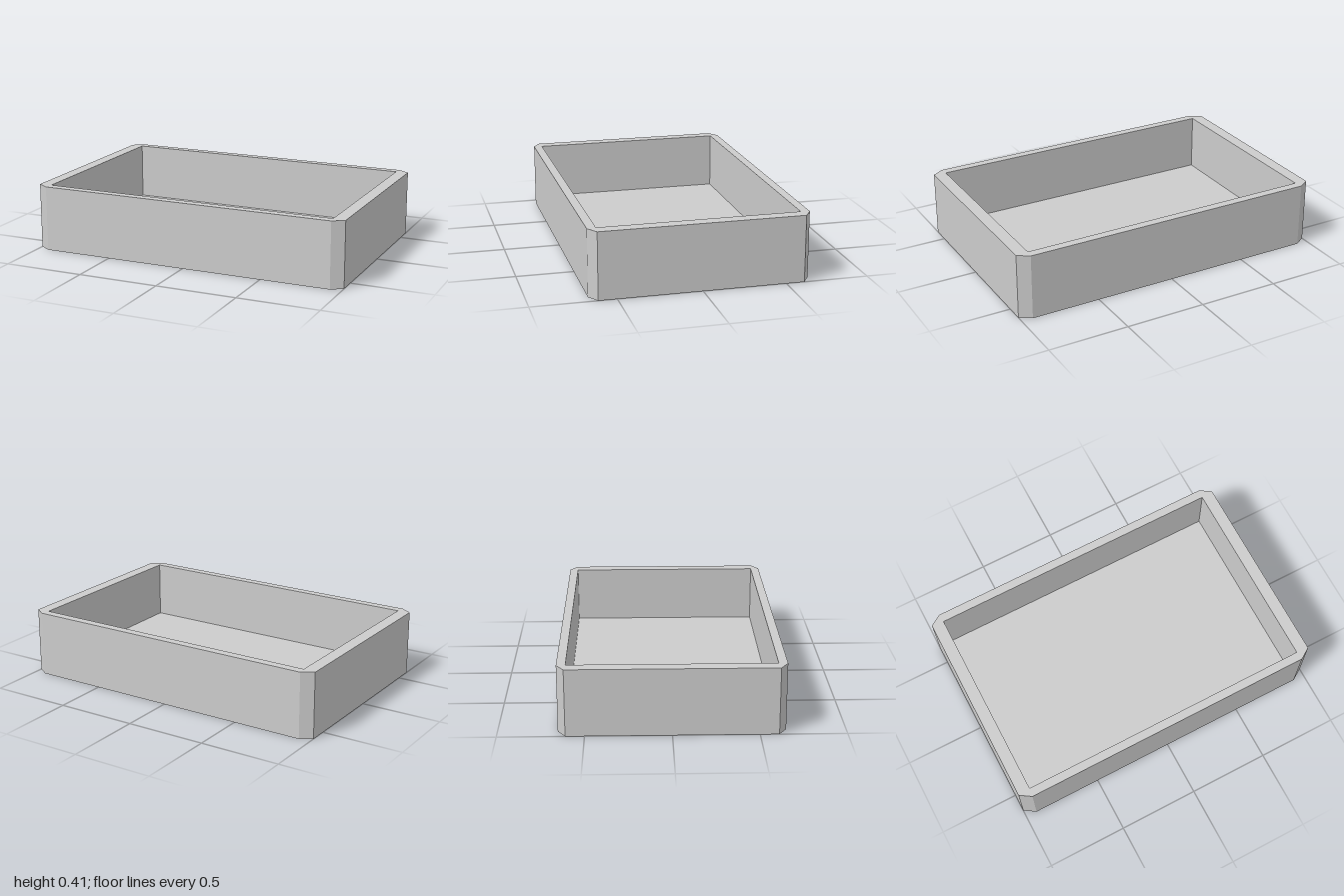
import * as THREE from 'three';

const HEIGHT = 0.405, FLOOR = 0.05;

// Rectangle with cut corners, in the ground plane
function chamferedOutline() {
  return new THREE.Shape([
    [-0.93, -0.655], [0.93, -0.655], [1, -0.61], [1, 0.61],
    [0.93, 0.655], [-0.93, 0.655], [-1, 0.61], [-1, -0.61],
  ].map(([x, z]) => new THREE.Vector2(x, z)));
}

// Extrudes a ground-plane shape upwards from y0 to y1
function slab(shape, y0, y1) {
  const g = new THREE.ExtrudeGeometry(shape, { depth: y1 - y0, bevelEnabled: false });
  return g.rotateX(-Math.PI / 2).translate(0, y0, 0);
}

export function createModel() {
  const group = new THREE.Group();
  group.name = 'openTray';
  const grey = new THREE.MeshStandardMaterial({ color: 0xcccccc });
  grey.name = 'light grey';

  // Wall ring around the rectangular recess
  const ring = chamferedOutline();
  ring.holes.push(new THREE.Path([
    [-0.923, -0.602], [-0.923, 0.602], [0.923, 0.602], [0.923, -0.602],
  ].map(([x, z]) => new THREE.Vector2(x, z))));
  const walls = new THREE.Mesh(slab(ring, FLOOR, HEIGHT), grey);
  walls.name = 'walls';

  // Thin floor under the walls
  const floor = new THREE.Mesh(slab(chamferedOutline(), 0, FLOOR), grey);
  floor.name = 'floor';

  group.add(walls, floor);
  return group;
}
